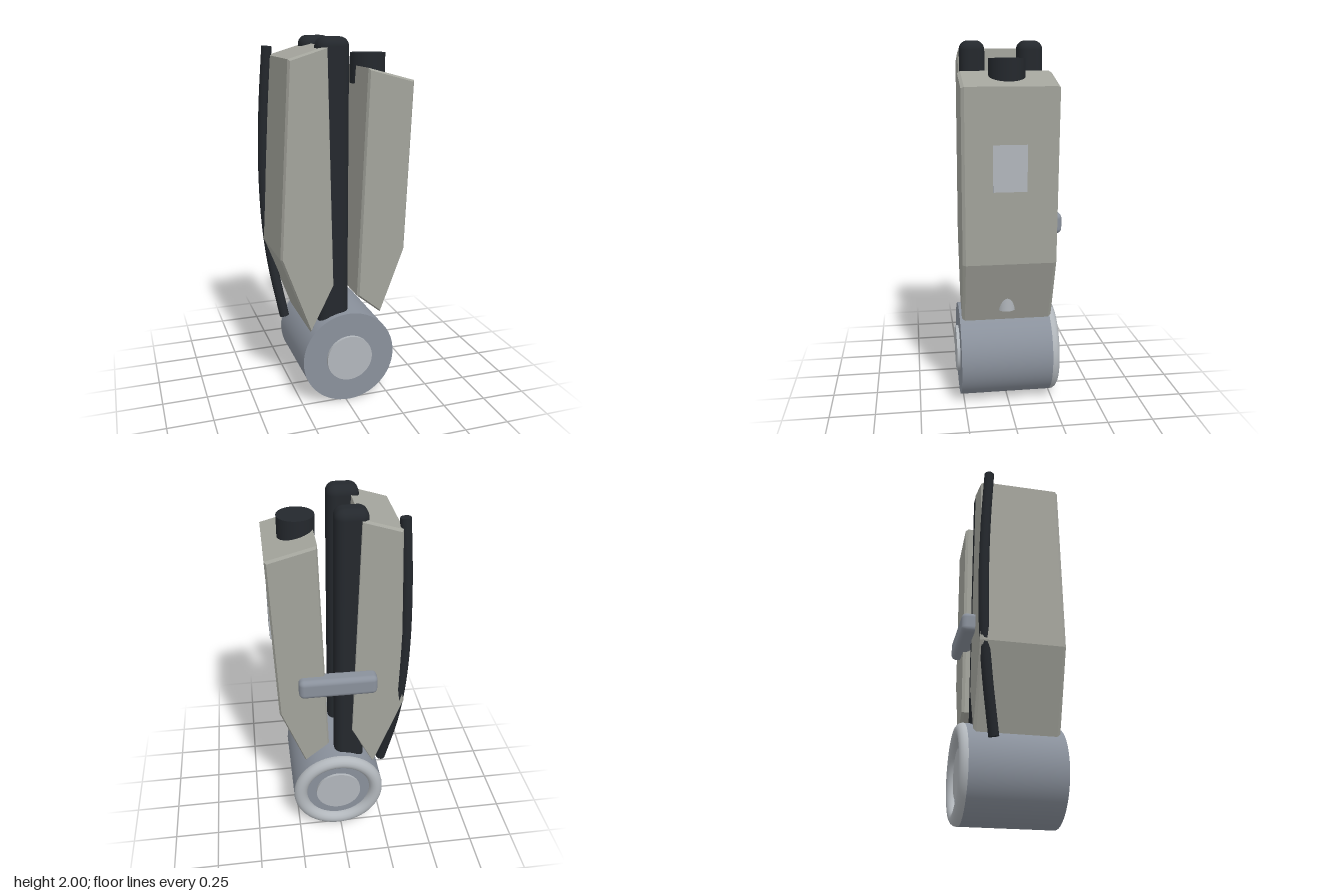
import * as THREE from 'three';
import { RoundedBoxGeometry } from 'three/addons/geometries/RoundedBoxGeometry.js';

const paint = (color) => new THREE.MeshStandardMaterial({ color });

export function createModel() {
  const model = new THREE.Group();
  model.name = 'twinPanelUnit';
  const shell = paint(0xa3a49c);
  const steel = paint(0x8a919c);
  const light = paint(0xb2b7bc);
  const black = paint(0x24282d);

  const add = (name, geometry, material, x = 0, y = 0, z = 0) => {
    const mesh = new THREE.Mesh(geometry, material);
    mesh.name = name;
    mesh.position.set(x, y, z);
    model.add(mesh);
    return mesh;
  };

  // Cylinder lying along z between two depths
  const drumPart = (name, radius, z0, z1, material) =>
    add(name, new THREE.CylinderGeometry(radius, radius, z1 - z0, 64), material, 0.015, 0.265, (z0 + z1) / 2)
      .rotateX(Math.PI / 2);

  // Foot drum with front and back hubs and a rolled back rim
  drumPart('drum', 0.263, -0.245, 0.268, steel);
  drumPart('frontHub', 0.13, 0.26, 0.285, light);
  drumPart('backHub', 0.13, -0.26, -0.23, light);
  add('backRim', new THREE.TorusGeometry(0.225, 0.039, 16, 64), light, 0.015, 0.265, -0.245);

  // Side panels: bevelled outlines extruded along z
  const panel = (name, outline, z0, z1) => {
    const bevel = 0.016;
    const shape = new THREE.Shape(outline.map(([x, y]) => new THREE.Vector2(x, y)));
    const geometry = new THREE.ExtrudeGeometry(shape, {
      depth: z1 - z0 - 2 * bevel,
      bevelThickness: bevel, bevelSize: 0.01, bevelOffset: -0.01, bevelSegments: 1,
    });
    add(name, geometry, shell, 0, 0, z0 + bevel);
  };
  panel('rightPanel', [[-0.3, 1.895], [-0.357, 0.865], [-0.195, 0.43], [-0.06, 0.69], [-0.093, 1.957]], -0.213, 0.24);
  panel('leftPanel', [[0.115, 1.847], [0.066, 0.62], [0.203, 0.508], [0.336, 0.865], [0.368, 1.78]], -0.235, 0.26);

  // Two rounded uprights standing in the drum
  for (const [name, z] of [['frontUpright', 0.169], ['backUpright', -0.143]]) {
    add(name, new RoundedBoxGeometry(0.168, 1.6, 0.131, 5, 0.048), black, -0.056, 1.2, z);
  }

  // Fittings on the left panel
  add('topCap', new THREE.CylinderGeometry(0.095, 0.095, 0.16, 48), black, 0.197, 1.832, 0.012);
  add('sidePlate', new THREE.BoxGeometry(0.05, 0.295, 0.175), light, 0.333, 1.402, 0.015);
  add('drainStub', new THREE.CylinderGeometry(0.05, 0.05, 0.1, 32), light, 0.204, 0.62, 0.015);

  // Crossbar joining the panels at the back
  add('backBar', new RoundedBoxGeometry(0.42, 0.112, 0.094, 4, 0.028), steel, 0.018, 1.045, -0.238);

  // Bowed hose along the outer back corner
  const path = new THREE.CatmullRomCurve3([
    [-0.313, 1.943, -0.17], [-0.335, 1.6, -0.19], [-0.344, 1.25, -0.198],
    [-0.335, 0.95, -0.19], [-0.31, 0.7, -0.167], [-0.257, 0.39, -0.12],
  ].map((p) => new THREE.Vector3(...p)));
  add('hose', new THREE.TubeGeometry(path, 28, 0.028, 10, false), black);
  for (const [name, t, sign] of [['hoseTopEnd', 0, -1], ['hoseBottomEnd', 1, 1]]) {
    const end = add(name, new THREE.CircleGeometry(0.028, 10), black);
    const at = path.getPointAt(t);
    end.position.copy(at);
    end.lookAt(at.clone().addScaledVector(path.getTangentAt(t), sign));
  }
  return model;
}
